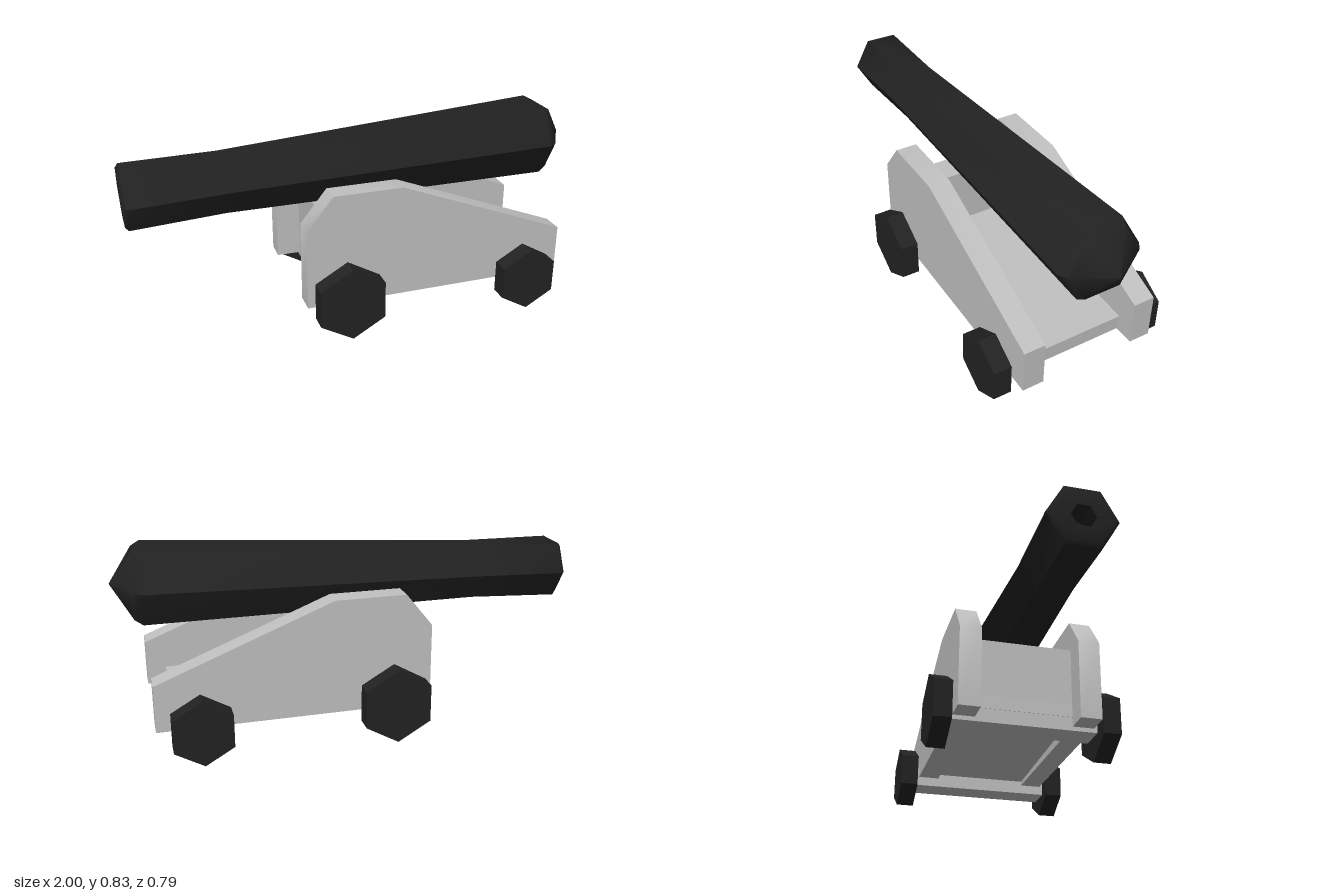
import * as THREE from 'three';
import { toCreasedNormals } from 'three/addons/utils/BufferGeometryUtils.js';

export function createModel() {
  const model = new THREE.Group();
  model.name = 'cannon';
  const iron = new THREE.MeshStandardMaterial({ color: 0x222222 });
  iron.name = 'blackIron';
  const wood = new THREE.MeshStandardMaterial({ color: 0xc0c0c0 });
  wood.name = 'paleGrey';

  function add(name, geometry, material, x = 0, y = 0, z = 0) {
    const mesh = new THREE.Mesh(geometry, material);
    mesh.name = name;
    mesh.position.set(x, y, z);
    model.add(mesh);
    return mesh;
  }

  // Six-sided barrel: bore, muzzle rim, waist, swelling breech, blunt tip
  const profile = [
    [0, -0.88], [0.05, -0.88], [0.05, -0.996], [0.125, -0.996], [0.141, -0.982],
    [0.133, -0.58], [0.181, 0.87], [0.158, 0.905], [0, 1],
  ].map(([r, l]) => new THREE.Vector2(r, l));
  const barrelGeometry = toCreasedNormals(new THREE.LatheGeometry(profile, 6), 0.87);
  const barrel = add('barrel', barrelGeometry, iron, 0, 0.641, 0);
  barrel.rotation.z = -Math.PI / 2 + 0.034;

  // Stepped side cheeks
  const outline = new THREE.Shape([
    [-0.3, 0.127], [0.867, 0.127], [0.867, 0.328],
    [0.12, 0.623], [-0.185, 0.623], [-0.3, 0.48],
  ].map(([x, y]) => new THREE.Vector2(x, y)));
  const cheek = toCreasedNormals(
    new THREE.ExtrudeGeometry(outline, { depth: 0.094, bevelEnabled: false }), 0.7);
  add('leftCheek', cheek, wood, 0, 0, 0.21);
  add('rightCheek', cheek, wood, 0, 0, -0.304);

  // Upright crosspiece under the muzzle and the slightly sloping bed
  add('transom', new THREE.BoxGeometry(0.126, 0.333, 0.422), wood, -0.131, 0.317, 0);
  const bed = add('bed', new THREE.BoxGeometry(0.98, 0.06, 0.422), wood, 0.295, 0.185, 0);
  bed.rotation.z = -0.028;

  // Axles with six-sided wheels, the muzzle pair larger
  for (const [label, x, radius] of [['front', -0.13, 0.163], ['rear', 0.685, 0.141]]) {
    add(label + 'Axle', new THREE.BoxGeometry(0.128, 0.11, 0.64), wood, x, radius, 0);
    const wheel = new THREE.CylinderGeometry(radius, radius, 0.078, 6).rotateX(Math.PI / 2);
    const wheelGeometry = toCreasedNormals(wheel, 0.5);
    for (const side of [1, -1]) {
      add(label + (side > 0 ? 'LeftWheel' : 'RightWheel'), wheelGeometry, iron, x, radius, side * 0.358);
    }
  }
  return model;
}
